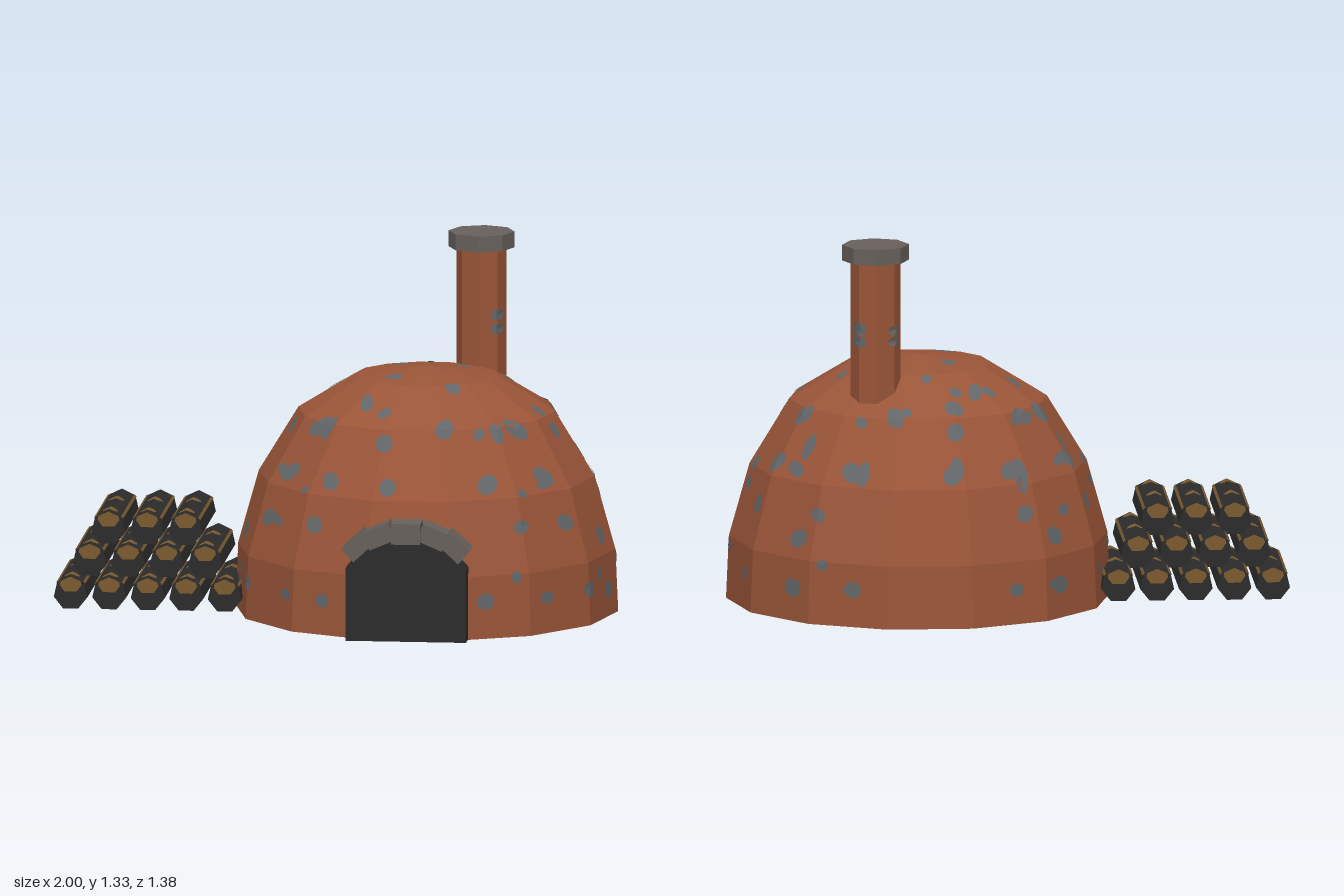
import * as THREE from 'three';

const mat = (name, color, side = THREE.FrontSide) => {
  const m = new THREE.MeshStandardMaterial({ color, flatShading: true, side });
  m.name = name;
  return m;
};

export function createModel() {
  const model = new THREE.Group();
  model.name = 'outdoorOven';
  const clay = mat('terracotta', 0x9a5538);
  const speck = mat('greySpeckle', 0x626668, THREE.DoubleSide);
  const stone = mat('stone', 0x67605c);
  const black = mat('charcoal', 0x2c2c2c);
  const ochre = mat('ochreWood', 0x7b5a2f, THREE.DoubleSide);

  const add = (name, geometry, material, parent = model) => {
    const mesh = new THREE.Mesh(geometry, material);
    mesh.name = name;
    parent.add(mesh);
    return mesh;
  };

  // Thin round patches projected along an axis onto the given meshes
  const ray = new THREE.Raycaster();
  const cast = (origin, dir, targets) => {
    ray.set(origin, dir);
    return ray.intersectObjects(targets, false)[0];
  };
  const lifted = (hit) => hit.point.clone().addScaledVector(hit.face.normal, 0.004);
  function patches(spots, dir, targets, out) {
    const n = dir.clone().negate();
    const u = Math.abs(n.y) > 0.5 ? new THREE.Vector3(1, 0, 0) : new THREE.Vector3(0, 1, 0);
    const v = n.clone().cross(u);
    for (const [x, y, z, r] of spots) {
      const start = new THREE.Vector3(x, y, z).addScaledVector(n, 3);
      const mid = cast(start, dir, targets);
      if (!mid) continue;
      const ring = [];
      for (let i = 0; i < 12; i++) {
        const a = (i * Math.PI) / 6;
        const p = start.clone().addScaledVector(u, r * Math.cos(a)).addScaledVector(v, r * Math.sin(a));
        const hit = cast(p, dir, [mid.object]);
        if (hit) ring.push(lifted(hit));
      }
      if (ring.length < 12) continue;
      const c = lifted(mid);
      ring.forEach((p, i) => out.push(...c, ...p, ...ring[(i + 1) % 12]));
    }
  }
  const patchGeometry = (positions) => {
    const g = new THREE.BufferGeometry();
    g.setAttribute('position', new THREE.Float32BufferAttribute(positions, 3));
    g.computeVertexNormals();
    return g;
  };

  // Faceted dome with a closed base
  const profile = [[0, 0], [0.686, 0], [0.676, 0.225], [0.602, 0.488], [0.46, 0.72], [0.257, 0.845], [0, 0.877]]
    .map(([r, y]) => new THREE.Vector2(r, y));
  const dome = add('dome',
    new THREE.LatheGeometry(profile, 14, Math.PI / 2).translate(0.312, 0, -0.018), clay);

  // Chimney and cap
  const chimney = add('chimney',
    new THREE.CylinderGeometry(0.09, 0.09, 0.62, 8).translate(0.481, 0.96, -0.275), clay);
  add('chimneyCap', new THREE.CylinderGeometry(0.119, 0.119, 0.057, 8).translate(0.481, 1.293, -0.275), stone);

  // Speckles: [z, y, r] on the sides, [x, y, r] on front and back, [x, z, r] on top and base
  const sideSpots = [
    [0.28, 0.7, 0.035], [0.31, 0.54, 0.033], [0.09, 0.67, 0.03], [-0.23, 0.695, 0.033], [-0.08, 0.5, 0.025],
    [-0.26, 0.534, 0.034], [-0.08, 0.427, 0.024], [-0.24, 0.38, 0.034], [0.31, 0.376, 0.03], [0.1, 0.295, 0.033],
    [-0.475, 0.295, 0.033], [-0.05, 0.195, 0.022], [0.17, 0.17, 0.024], [0.09, 0.1, 0.033], [0.27, 0.13, 0.03],
    [-0.236, 0.13, 0.025], [-0.486, 0.12, 0.033], [0.43, 0.497, 0.015], [-0.33, 1.02, 0.02], [-0.33, 0.98, 0.02]];
  const frontSpots = [
    [-0.02, 0.7, 0.026], [-0.055, 0.69, 0.02], [0.13, 0.785, 0.024], [0.21, 0.674, 0.03], [0.02, 0.535, 0.03],
    [0.23, 0.53, 0.03], [-0.17, 0.54, 0.02], [0.42, 0.72, 0.03], [0.54, 0.7, 0.02], [0.58, 0.535, 0.034],
    [0.767, 0.524, 0.025], [-0.18, 0.374, 0.02], [-0.035, 0.385, 0.03], [0.585, 0.134, 0.03], [0, 0.123, 0.025],
    [-0.14, 0.128, 0.02], [0.79, 0.128, 0.022], [0.69, 0.214, 0.02], [0.7, 0.385, 0.024],
    [0.54, 1.03, 0.02], [0.54, 0.98, 0.02]];
  const topSpots = [
    [-0.02, -0.487, 0.03], [0.21, -0.567, 0.025], [0.21, -0.42, 0.034], [0.54, -0.53, 0.025], [0.21, -0.12, 0.03],
    [-0.02, -0.12, 0.03], [0.43, -0.12, 0.028], [0.59, -0.12, 0.022], [0.3, -0.29, 0.02], [0.08, -0.29, 0.025],
    [-0.18, -0.22, 0.02], [0.21, 0.12, 0.032], [0.43, 0.22, 0.028], [0, 0.32, 0.03], [0.72, 0.09, 0.026],
    [0.72, -0.34, 0.026], [0.2, -0.34, 0.022], [0.38, -0.44, 0.02], [0.2, 0.35, 0.025], [0.6, 0.35, 0.025]];
  const speckles = [];
  const clayParts = [dome, chimney];
  for (const s of [1, -1]) {
    patches(sideSpots.map(([z, y, r]) => [0, y, z, r]), new THREE.Vector3(s, 0, 0), clayParts, speckles);
    patches(frontSpots.map(([x, y, r]) => [x, y, 0, r]), new THREE.Vector3(0, 0, s), clayParts, speckles);
    patches(topSpots.map(([x, z, r]) => [x, 0, z, r]), new THREE.Vector3(0, s, 0), [dome], speckles);
  }
  add('speckles', patchGeometry(speckles), speck);

  // Dark arched mouth
  const half = [[0.216, 0], [0.216, 0.262], [0.15, 0.335], [0.06, 0.38]];
  const outline = [...half, ...half.map(([x, y]) => [-x, y]).reverse()].map(([x, y]) => new THREE.Vector2(x, y));
  add('ovenMouth', new THREE.ExtrudeGeometry(new THREE.Shape(outline), { depth: 0.133, bevelEnabled: false })
    .translate(0.31, 0, 0.55), black);

  // Arch stones around the mouth: [x offset, y, tilt, width, height, front z]
  const arch = new THREE.Group();
  arch.name = 'archStones';
  model.add(arch);
  for (const [x, y, tilt, w, h, z] of [
    [0, 0.39, 0, 0.105, 0.075, 0.692], [0.097, 0.378, -0.4, 0.1, 0.066, 0.686], [0.172, 0.342, -0.75, 0.1, 0.062, 0.69]]) {
    for (const s of x ? [1, -1] : [1]) {
      const block = add('archStone', new THREE.BoxGeometry(w, h, 0.12), stone, arch);
      block.position.set(0.31 + s * x, y, z - 0.06);
      block.rotation.z = s * tilt;
    }
  }

  // Stacked firewood: seven-sided logs with exposed wood on ends, top and edges
  const pile = new THREE.Group();
  pile.name = 'firewoodPile';
  model.add(pile);
  const endShape = new THREE.Shape([[0, 0.06], [-0.036, 0.044], [-0.039, 0.03], [-0.022, 0.006],
    [0.022, 0.006], [0.039, 0.03], [0.036, 0.044]].map(([x, y]) => new THREE.Vector2(x, y)));
  const wood = [];
  const rows = [[5, -0.941, 0.069], [4, -0.873, 0.189], [3, -0.805, 0.307]];
  for (const [count, x0, y] of rows) {
    for (let i = 0; i < count; i++) {
      const x = x0 + i * 0.138;
      const log = add('log',
        new THREE.CylinderGeometry(0.062, 0.062, 0.458, 7).rotateX(-Math.PI / 2).translate(x, y, -0.021), black, pile);
      patches([[x, 0, 0.16, 0.027], [x, 0, -0.06, 0.027]], new THREE.Vector3(0, -1, 0), [log], wood);
      for (const s of [1, -1]) {
        const end = add('logEnd', new THREE.ShapeGeometry(endShape), ochre, pile);
        end.position.set(x, y, -0.021 + s * 0.231);
        end.rotation.y = s > 0 ? 0 : Math.PI;
        const strip = add('barkSplit', new THREE.BoxGeometry(0.01, 0.005, 0.44), ochre, pile);
        strip.position.set(x + s * 0.048, y + 0.038, -0.021);
        strip.rotation.z = -s * 0.9;
      }
    }
  }
  add('woodPatches', patchGeometry(wood), ochre, pile);

  return model;
}
